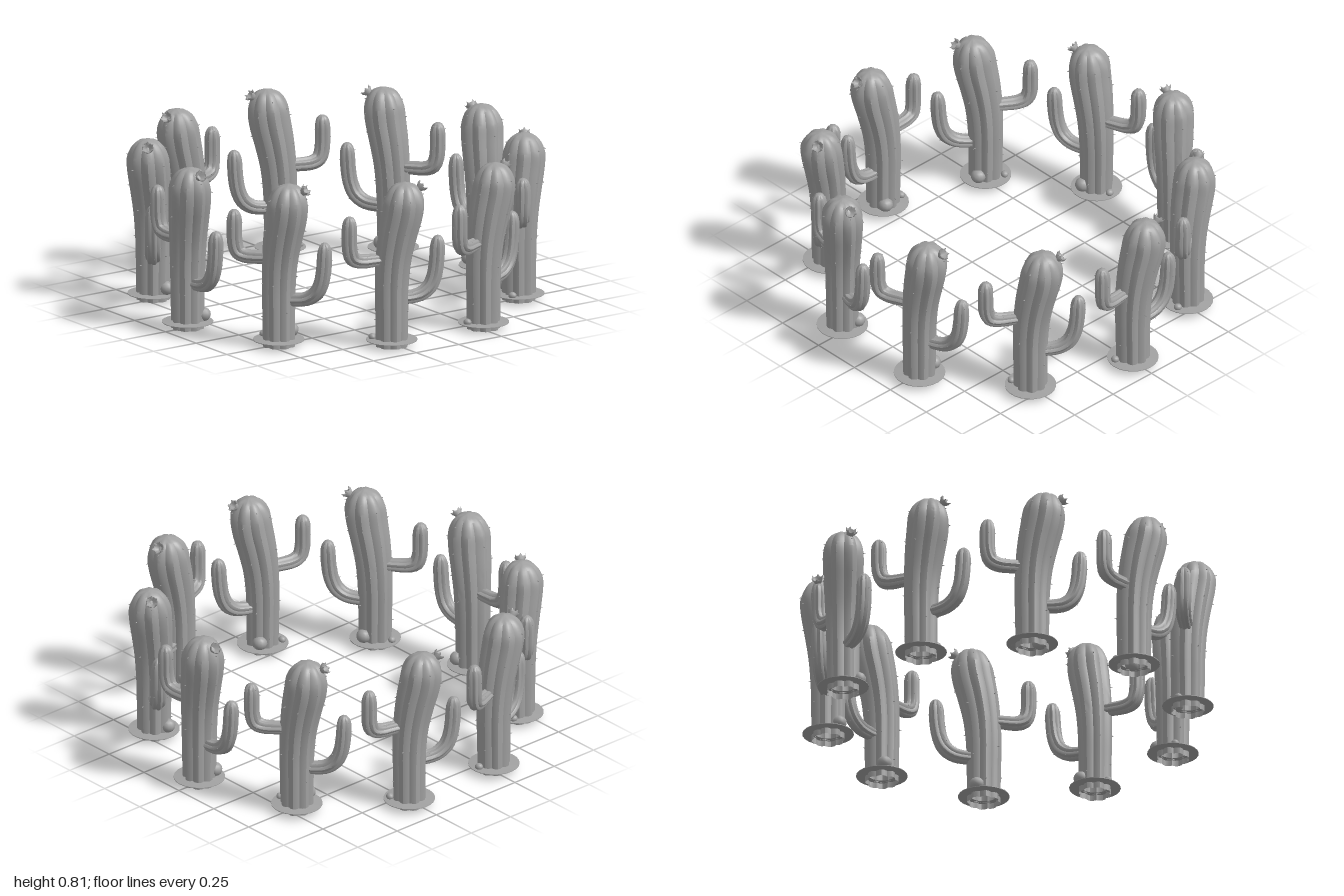
import * as THREE from 'three';
import { mergeGeometries, toCreasedNormals } from 'three/addons/utils/BufferGeometryUtils.js';

const V = (x, y, z) => new THREE.Vector3(x, y, z);
const UP = V(0, 1, 0);

// Fluted body swept along rows of [x, y, z, radius]; returns body and spine geometries
function flutedBody(rows, ribs, depth, steps, spineEvery, spineSize) {
  const path = new THREE.CatmullRomCurve3(rows.map(r => V(r[0], r[1], r[2])));
  const radii = new THREE.CatmullRomCurve3(rows.map((r, i) => V(r[3], i * 0.1, 0)));
  const sides = ribs * 4, pos = [], index = [], spines = [];
  const across = V(1, 0, 0);
  for (let i = 0; i <= steps; i++) {
    const k = i / steps;
    const c = path.getPoint(k), r = Math.max(0, radii.getPoint(k).x);
    const side = path.getTangent(k).cross(across).normalize();
    for (let j = 0; j < sides; j++) {
      const a = j / sides * Math.PI * 2;
      const flute = 1 - depth + depth * Math.abs(Math.cos(a * ribs / 2));
      const dir = across.clone().multiplyScalar(Math.cos(a)).addScaledVector(side, Math.sin(a));
      const p = c.clone().addScaledVector(dir, r * flute);
      pos.push(p.x, p.y, p.z);
      if (i < steps) {
        const n = (j + 1) % sides, b = i * sides, t = b + sides;
        index.push(b + j, b + n, t + j, b + n, t + n, t + j);
      }
      // Spines sit on the ridges, staggered from rib to rib
      const rib = j / 4;
      if (j % 4 === 0 && i > 1 && k < 0.8 && (i + rib * 3) % spineEvery === 0) {
        const s = new THREE.ConeGeometry(spineSize * 0.5, spineSize * 1.6, 4);
        s.applyQuaternion(new THREE.Quaternion().setFromUnitVectors(UP, dir));
        spines.push(s.translate(p.x + dir.x * spineSize * 0.4, p.y, p.z + dir.z * spineSize * 0.4));
      }
    }
  }
  const geo = new THREE.BufferGeometry();
  geo.setAttribute('position', new THREE.Float32BufferAttribute(pos, 3));
  geo.setIndex(index);
  return { body: toCreasedNormals(geo, 0.6), spines: mergeGeometries(spines) };
}

// Funnel flower opening along +y, with short pointed petals
function flowerParts() {
  const profile = [[0, 0], [0.014, 0], [0.018, 0.015], [0.028, 0.032], [0.022, 0.032], [0.012, 0.014], [0, 0.012]];
  const tube = new THREE.LatheGeometry(profile.map(p => new THREE.Vector2(...p)), 12);
  const petals = [];
  for (let i = 0; i < 6; i++) {
    const petal = new THREE.ConeGeometry(0.012, 0.018, 5);
    petal.scale(1, 1, 0.4).rotateX(0.5).translate(0, 0.036, 0.026);
    petals.push(petal.rotateY(i * Math.PI / 3));
  }
  return { tube, petals: mergeGeometries(petals) };
}

export function createModel() {
  const model = new THREE.Group();
  model.name = 'cactusRing';
  // Double-sided because the trunks are open underneath
  const grey = new THREE.MeshStandardMaterial({ color: 0xa0a0a0, side: THREE.DoubleSide });
  grey.name = 'stone grey';

  // Trunk: x points away from the ring centre, z along the ring
  const trunk = flutedBody([
    [0, 0, 0, 0.08], [0, 0.15, 0, 0.082], [0, 0.3, 0, 0.085], [0.004, 0.43, -0.008, 0.09],
    [0.012, 0.55, -0.026, 0.098], [0.021, 0.65, -0.046, 0.103], [0.025, 0.715, -0.054, 0.1],
    [0.025, 0.765, -0.057, 0.08], [0.025, 0.795, -0.058, 0.05], [0.025, 0.81, -0.058, 0],
  ], 8, 0.14, 30, 7, 0.008);

  // Arms: the upper one bends sharply, the lower one in a wide curve
  const upperArm = flutedBody([
    [0, 0.43, 0.03, 0.032], [0.005, 0.428, 0.1, 0.034], [0.01, 0.43, 0.16, 0.036],
    [0.014, 0.447, 0.198, 0.038], [0.018, 0.49, 0.214, 0.038], [0.02, 0.56, 0.217, 0.038],
    [0.02, 0.61, 0.217, 0.037], [0.02, 0.64, 0.217, 0.029], [0.02, 0.655, 0.217, 0.016], [0.02, 0.66, 0.217, 0],
  ], 7, 0.17, 24, 7, 0.005);
  const lowerArm = flutedBody([
    [0, 0.232, -0.03, 0.032], [0, 0.232, -0.09, 0.034], [0, 0.243, -0.145, 0.036],
    [0, 0.275, -0.188, 0.038], [0, 0.325, -0.212, 0.038], [0, 0.39, -0.224, 0.038],
    [0, 0.47, -0.229, 0.037], [0, 0.505, -0.23, 0.029], [0, 0.522, -0.23, 0.016], [0, 0.528, -0.23, 0],
  ], 7, 0.17, 24, 7, 0.005);

  // Flat sand mound around the foot, and stones
  const mound = new THREE.LatheGeometry(
    [[0.065, 0.029], [0.123, 0.03], [0.123, 0.033], [0.065, 0.038]].map(p => new THREE.Vector2(...p)), 24);
  const sand = toCreasedNormals(mound, 0.6);
  const stone = new THREE.SphereGeometry(1, 12, 8);
  const { tube, petals } = flowerParts();

  for (let i = 0; i < 10; i++) {
    const angle = i * Math.PI / 5;
    const cactus = new THREE.Group();
    cactus.name = 'cactus' + (i + 1);
    const add = (name, geo, parent = cactus) => {
      const mesh = new THREE.Mesh(geo, grey);
      mesh.name = name;
      parent.add(mesh);
      return mesh;
    };
    for (const [name, part] of Object.entries({ trunk, upperArm, lowerArm })) {
      add(name, part.body);
      add(name + 'Spines', part.spines);
    }
    add('sandMound', sand);

    const largeStone = add('largeStone', stone);
    largeStone.scale.set(0.036, 0.034, 0.036);
    largeStone.position.set(-0.062, 0.066, -0.042);
    const smallStone = add('smallStone', stone);
    smallStone.scale.set(0.02, 0.017, 0.018);
    smallStone.position.set(-0.03, 0.043, 0.088);

    // Flower on the side of the crown
    const flower = new THREE.Group();
    flower.name = 'flower';
    add('flowerTube', tube, flower);
    add('flowerPetals', petals, flower);
    flower.position.set(0.025, 0.763, -0.118);
    flower.rotation.x = -0.9;
    cactus.add(flower);

    cactus.position.set(Math.cos(angle) * 0.87, 0, Math.sin(angle) * 0.87);
    cactus.rotation.y = -angle;
    model.add(cactus);
  }
  return model;
}
